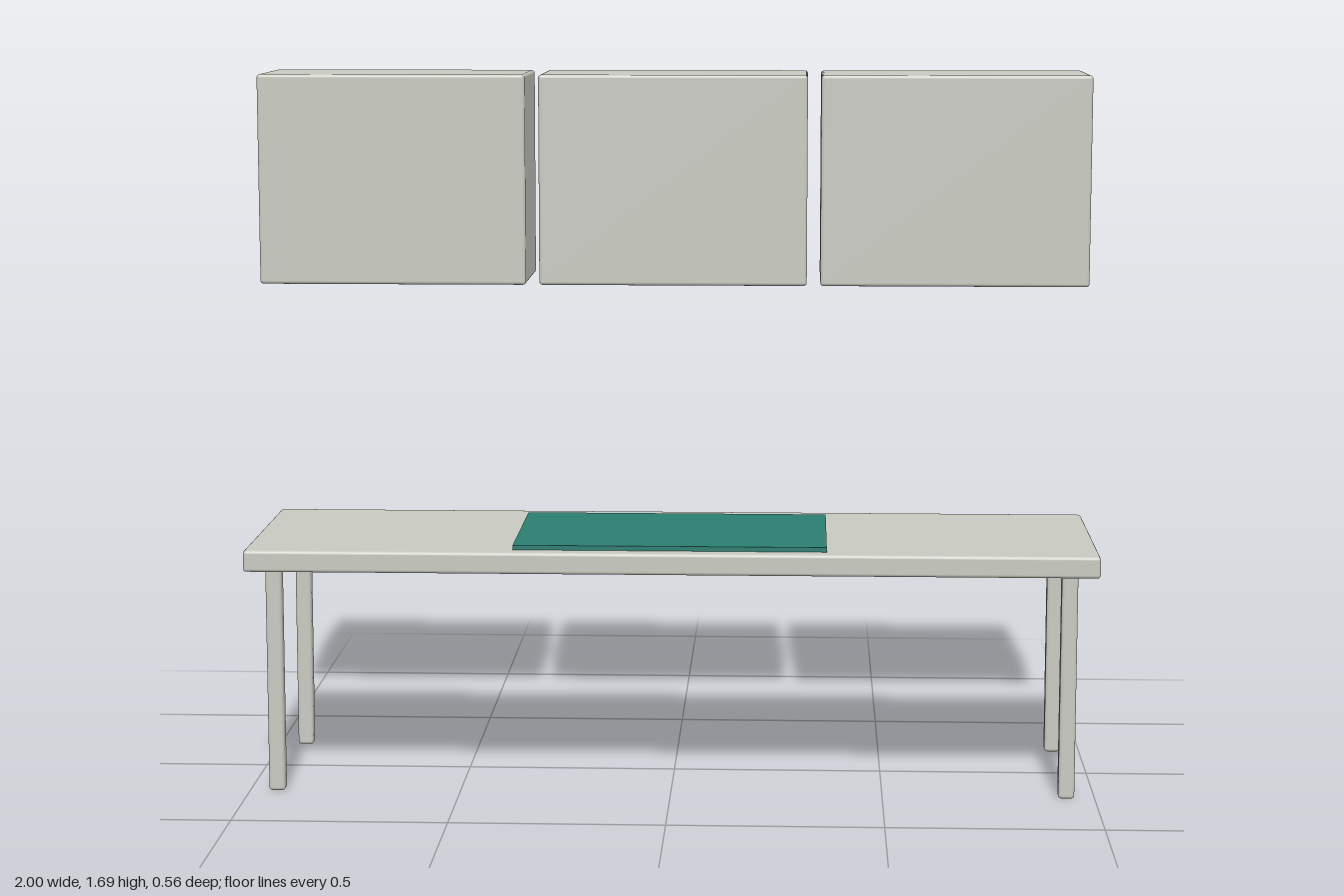
import * as THREE from 'three';
import { RoundedBoxGeometry } from 'three/addons/geometries/RoundedBoxGeometry.js';

export function createModel() {
  const model = new THREE.Group();
  model.name = 'deskWithWallCabinets';

  const paleGrey = new THREE.MeshStandardMaterial({ color: 0xc8cac1 });
  paleGrey.name = 'pale grey';
  const teal = new THREE.MeshStandardMaterial({ color: 0x2b7d70 });
  teal.name = 'teal';

  // Softly rounded block, placed by its centre in x and z and its underside in y
  function addBlock(name, [w, h, d], [x, y, z], radius) {
    const mesh = new THREE.Mesh(new RoundedBoxGeometry(w, h, d, 3, radius), paleGrey);
    mesh.name = name;
    mesh.position.set(x, y + h / 2, z);
    model.add(mesh);
  }

  // Table top
  addBlock('tableTop', [2, 0.051, 0.564], [0, 0.537, 0], 0.008);

  // Four legs
  for (const [xName, x] of [['right', -0.936], ['left', 0.933]]) {
    for (const [zName, z] of [['Front', 0.221], ['Back', -0.221]]) {
      addBlock(`${xName}${zName}Leg`, [0.038, 0.537, 0.038], [x, 0, z], 0.008);
    }
  }

  // Row of three hanging cabinets
  ['rightCabinet', 'middleCabinet', 'leftCabinet'].forEach((name, i) => {
    addBlock(name, [0.636, 0.498, 0.3], [-0.003 + (i - 1) * 0.668, 1.188, -0.12], 0.008);
  });

  // Desk mat
  const mat = new THREE.Mesh(new THREE.BoxGeometry(0.735, 0.011, 0.435), teal);
  mat.name = 'deskMat';
  mat.position.set(-0.002, 0.5935, 0.026);
  model.add(mat);

  return model;
}
